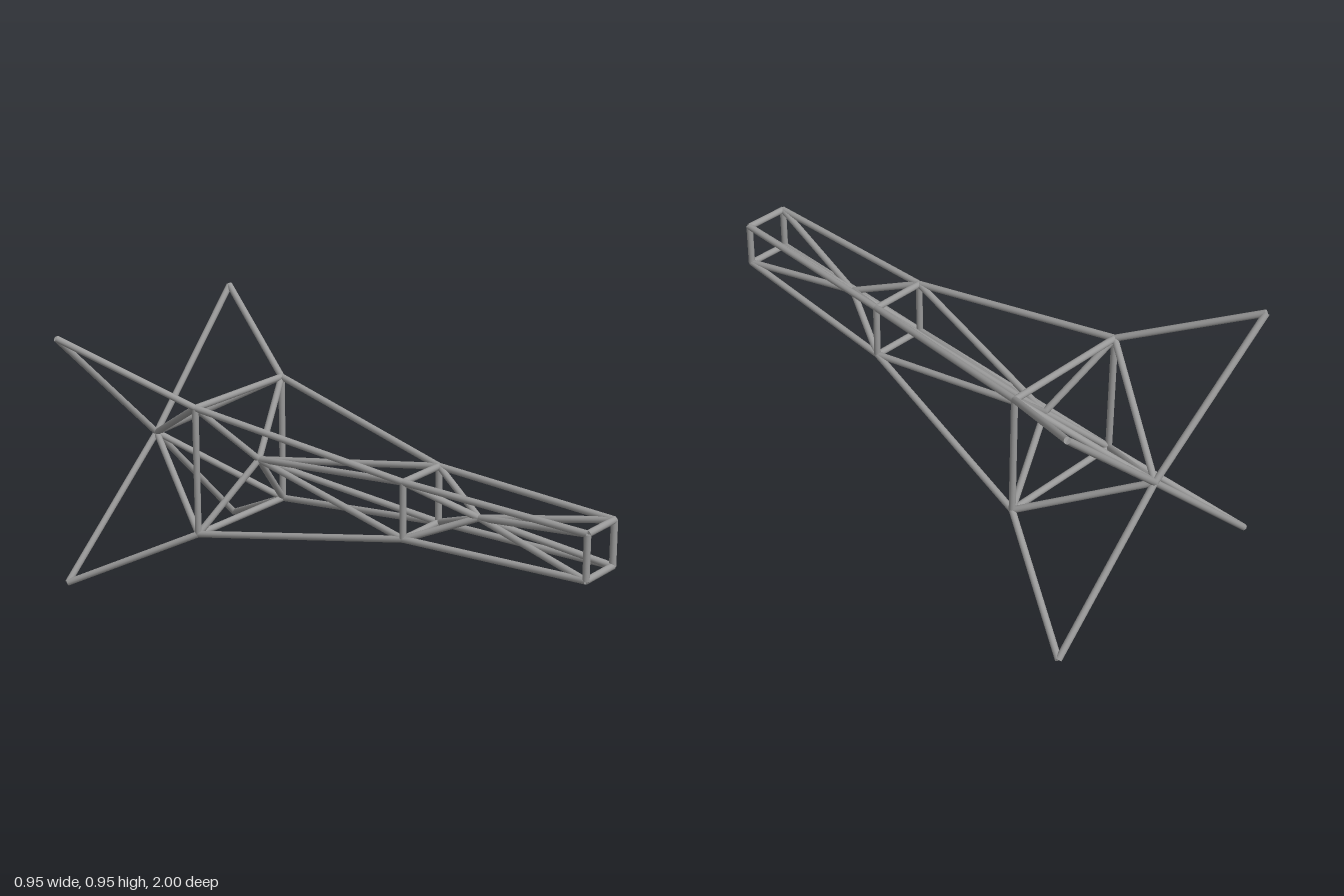
import * as THREE from 'three';

const RADIUS = 0.012;
const CENTRE_Y = 0.474;

export function createModel() {
  const model = new THREE.Group();
  model.name = 'trussFrame';
  const steel = new THREE.MeshStandardMaterial({ color: 0x999999 });
  steel.name = 'steel grey';

  // A round bar between two points
  const up = new THREE.Vector3(0, 1, 0);
  function addBar(parent, name, a, b) {
    const dir = b.clone().sub(a);
    const bar = new THREE.Mesh(new THREE.CylinderGeometry(RADIUS, RADIUS, dir.length(), 12), steel);
    bar.name = name;
    bar.position.copy(a).add(b).multiplyScalar(0.5);
    bar.quaternion.setFromUnitVectors(up, dir.normalize());
    parent.add(bar);
  }

  function addGroup(name) {
    const group = new THREE.Group();
    group.name = name;
    model.add(group);
    return group;
  }

  // Four corners of a square section across the axis
  const corners = (half, z) => [[1, 1], [-1, 1], [-1, -1], [1, -1]]
    .map(([sx, sy]) => new THREE.Vector3(sx * half, CENTRE_Y + sy * half, z));

  const sections = [
    corners(0.081, 0.988),
    corners(0.103, 0.268),
    corners(0.237, -0.545),
    corners(0.463, -0.988), // free tips, no ring
  ];
  const hubs = [0.51, -0.457, -0.957].map((z) => new THREE.Vector3(0, CENTRE_Y, z));

  // Square rings
  const rings = addGroup('squareRings');
  sections.slice(0, 3).forEach((ring) => {
    ring.forEach((p, i) => addBar(rings, 'ringBar', p, ring[(i + 1) % 4]));
  });

  // Long edge bars and the braces that meet at a hub on the axis
  const edges = addGroup('edgeBars');
  const braces = addGroup('hubBraces');
  hubs.forEach((hub, s) => {
    for (let i = 0; i < 4; i++) {
      const front = sections[s][i];
      const back = sections[s + 1][i];
      addBar(edges, s === 2 ? 'tailLeg' : 'edgeBar', front, back);
      addBar(braces, 'frontBrace', front, hub);
      addBar(braces, 'rearBrace', back, hub);
    }
  });

  return model;
}
